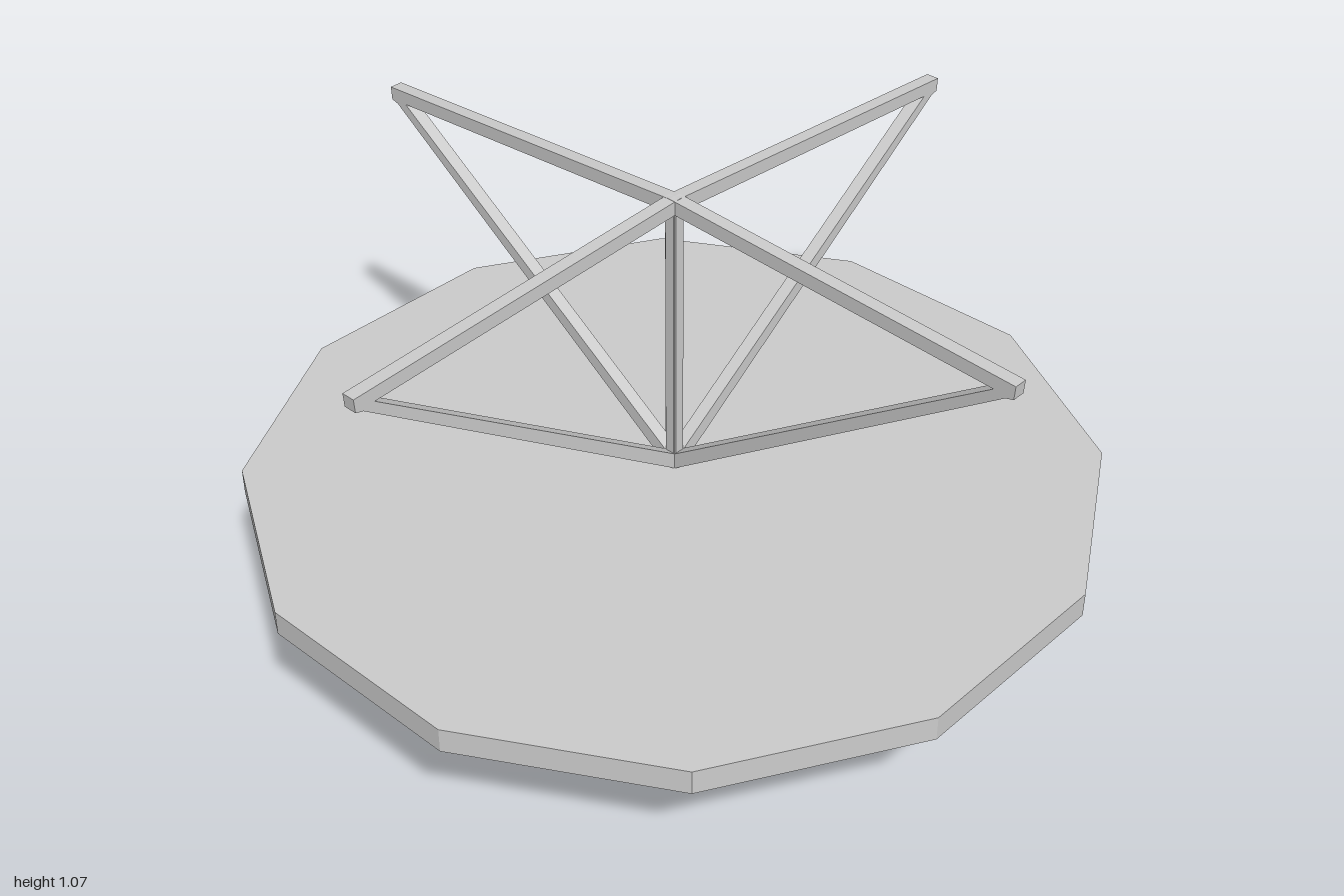
import * as THREE from 'three';

const toPoints = (list, side = 1) => list.map(([r, y]) => new THREE.Vector2(r * side, y));

export function createModel() {
  const model = new THREE.Group();
  const grey = new THREE.MeshStandardMaterial({ color: 0xcccccc, flatShading: true });

  const add = (geometry, name, y = 0) => {
    const mesh = new THREE.Mesh(geometry, grey);
    mesh.name = name;
    mesh.position.y = y;
    model.add(mesh);
    return mesh;
  };

  // Octagonal post and twelve-sided disc
  add(new THREE.CylinderGeometry(0.12, 0.12, 0.3, 8), 'post', 0.15);
  add(new THREE.CylinderGeometry(1, 1, 0.06, 12), 'disc', 0.33);

  // Two crossed flat frames, each a pair of triangles meeting at the centre
  const width = 0.032;
  const half = [[0.886, 0.98], [0.905, 0.985], [0.907, 1.017]];
  const outline = [[0, 0.347], ...half, [0, 1.07],
    ...half.map(([r, y]) => [-r, y]).reverse()];
  const opening = [[0.012, 0.397], [0.857, 0.988], [0.012, 1.036]];

  const shape = new THREE.Shape(toPoints(outline));
  for (const side of [1, -1]) shape.holes.push(new THREE.Path(toPoints(opening, side)));
  const frame = new THREE.ExtrudeGeometry(shape, { depth: width, bevelEnabled: false });
  frame.translate(0, 0, -width / 2);

  for (const side of [1, -1]) {
    add(frame, side > 0 ? 'leftFrame' : 'rightFrame').rotation.y = side * Math.PI / 4;
  }

  return model;
}
